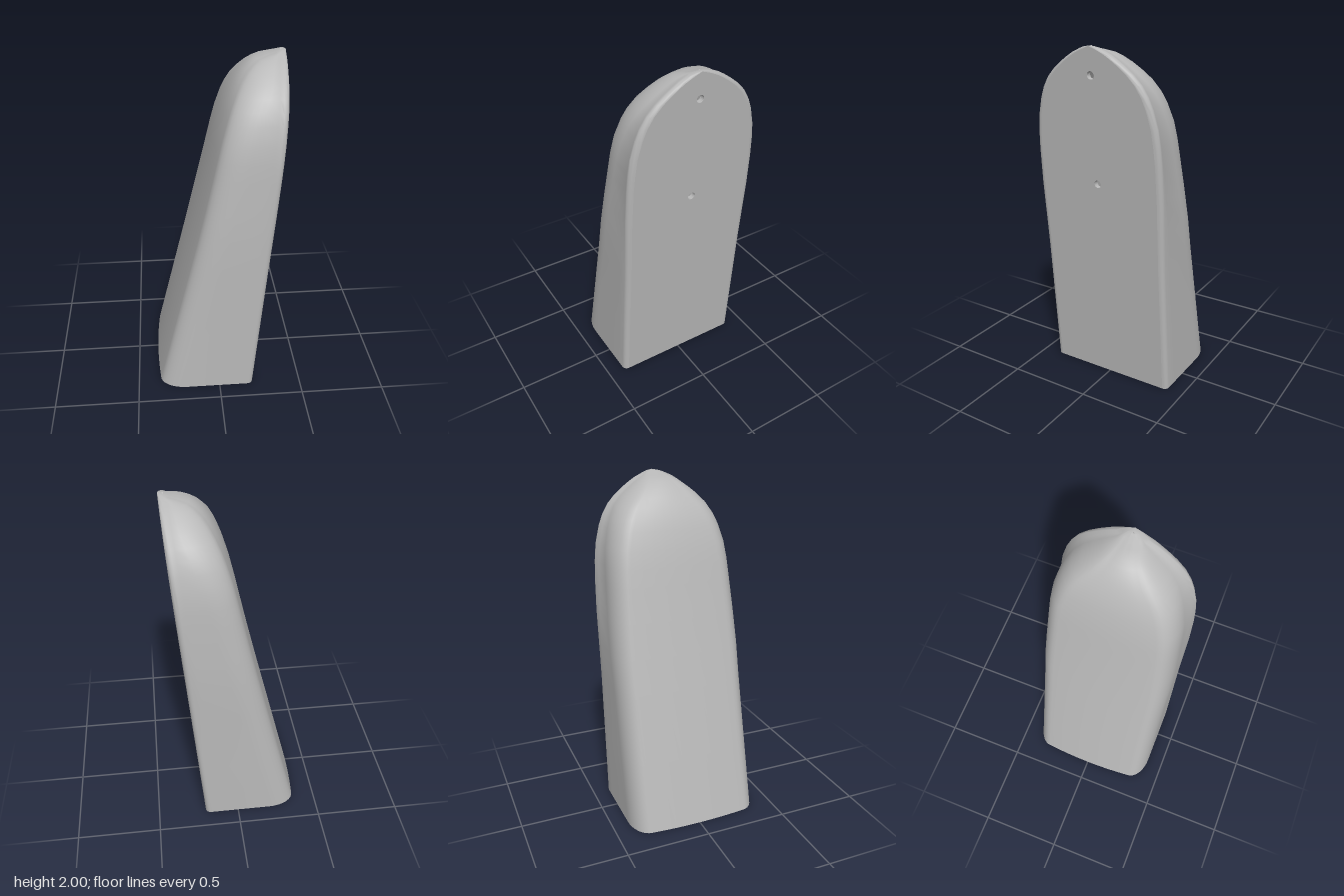
import * as THREE from 'three';
import { toCreasedNormals } from 'three/addons/utils/BufferGeometryUtils.js';

const WALL = 0.03;
const faceX = (y) => 0.205 + 0.085 * y; // sloping flat face on +x

// Height, x of the curved back, half width
const ROWS = [
  [0, -0.378, 0.4], [0.4, -0.28, 0.398], [0.8, -0.182, 0.396], [1.0, -0.134, 0.398],
  [1.2, -0.087, 0.4], [1.4, -0.042, 0.396], [1.5, -0.02, 0.39], [1.6, 0.004, 0.378],
  [1.7, 0.034, 0.352], [1.76, 0.056, 0.328], [1.82, 0.084, 0.292], [1.87, 0.114, 0.245],
  [1.91, 0.146, 0.195], [1.94, 0.18, 0.152], [1.96, 0.212, 0.12], [1.975, 0.265, 0.088],
  [1.985, 0.31, 0.065], [1.995, 0.34, 0.035], [2, 0.355, 0],
];

// One horizontal section, open on the +x side where the flat plate sits
function section([y, back, width], inset) {
  const xl = back + inset, xr = faceX(y) - inset, w = Math.max(0, width - inset);
  const depth = xr - xl, half = [];
  const groove = inset ? 0 : Math.min(0.016 * THREE.MathUtils.smoothstep(y, 0.95, 1.4), w * 0.2);
  const wb = w - groove;
  const off = Math.min(THREE.MathUtils.mapLinear(y, 0, 2, 0.1, 0.045), depth * 0.6);
  const lipX = inset ? 0 : Math.min(0.03, depth * 0.35), lipZ = inset ? 0 : Math.min(0.03, w);
  const bulge = Math.min(0.015, depth * 0.1);
  const rx = Math.min(0.16, (depth - off - bulge) * 0.8), rz = Math.min(0.1, wb * 0.45);
  for (let k = 0; k < 4; k++) {
    const t = k / 4;
    half.push([xl + bulge * t * t, (wb - rz) * t]);
  }
  for (let k = 0; k <= 8; k++) {
    const a = (k / 8) * Math.PI / 2;
    half.push([xl + bulge + rx * (1 - Math.cos(a)), wb - rz + rz * Math.sin(a)]);
  }
  half.push([xr - off, wb]);
  for (let k = 0; k <= 5; k++) {
    const a = (k / 5) * Math.PI / 2;
    half.push([xr - lipX + lipX * Math.sin(a), w - lipZ + lipZ * Math.cos(a)]);
  }
  const mirrored = half.slice(1).reverse().map(([x, z]) => [x, -z]);
  return [...mirrored, ...half].map(([x, z]) => [x, y, z]);
}

// Inner wall downwards, across the bottom rim, then outer wall upwards
function shellGeometry() {
  const inner = [...ROWS.filter((r) => r[0] < 1.92), [1.94, 0.2, WALL]].reverse();
  const loops = [...inner.map((r) => section(r, WALL)), ...ROWS.map((r) => section(r, 0))];
  const n = loops[0].length, index = [];
  for (let i = 0; i < loops.length - 1; i++) {
    for (let j = 0; j < n - 1; j++) {
      const a = i * n + j, c = a + n;
      index.push(a, a + 1, c, a + 1, c + 1, c);
    }
  }
  const geo = new THREE.BufferGeometry();
  geo.setAttribute('position', new THREE.Float32BufferAttribute(loops.flat(2), 3));
  geo.setIndex(index);
  return toCreasedNormals(geo, 0.75);
}

// Flat arched plate with two screw holes, sheared to follow the slope
function plateGeometry() {
  const edge = ROWS.map(([y, , w]) => [Math.max(0, w - 0.03), y]);
  const outline = [...edge.slice(0, -1), [0, 2],
    ...edge.slice(0, -2).reverse().map(([s, y]) => [-s, y])];
  const shape = new THREE.Shape(outline.map(([s, y]) => new THREE.Vector2(s, y)));
  for (const y of [1.25, 1.85]) {
    shape.holes.push(new THREE.Path().absarc(0, y, 0.022, 0, Math.PI * 2, true));
  }
  const geo = new THREE.ExtrudeGeometry(shape, { depth: WALL, bevelEnabled: false, curveSegments: 10 });
  geo.rotateY(Math.PI / 2);
  const p = geo.attributes.position;
  for (let i = 0; i < p.count; i++) p.setX(i, p.getX(i) - WALL + faceX(p.getY(i)));
  geo.computeVertexNormals();
  return geo;
}

export function createModel() {
  const group = new THREE.Group();
  group.name = 'hollowCover';
  const grey = new THREE.MeshStandardMaterial({ color: 0xb8b8b8 });
  grey.name = 'grey';
  const add = (name, geo) => {
    const mesh = new THREE.Mesh(geo, grey);
    mesh.name = name;
    group.add(mesh);
    return mesh;
  };

  add('shell', shellGeometry());
  add('mountingPlate', plateGeometry());

  // Screw bosses inside the open bottom
  const profile = [[0.018, 0.1], [0.018, 0.015], [0.045, 0.015], [0.045, 0.12], [0, 0.12]]
    .map(([r, y]) => new THREE.Vector2(r, y));
  const boss = toCreasedNormals(new THREE.LatheGeometry(profile, 20), 0.6);
  for (const side of [1, -1]) {
    add(side > 0 ? 'frontBoss' : 'backBoss', boss).position.set(-0.08, 0, side * 0.34);
  }
  return group;
}
